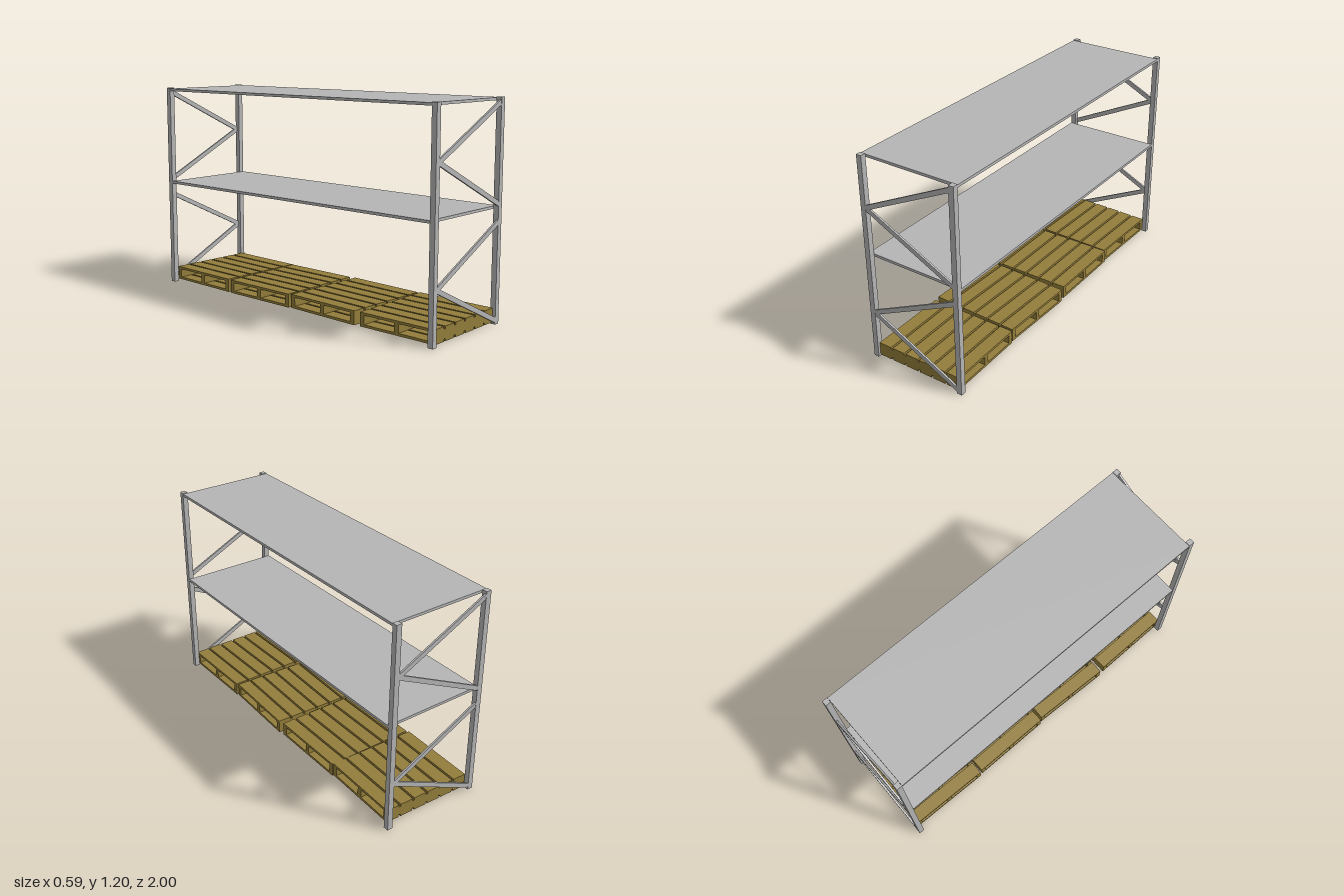
import * as THREE from 'three';

const steel = new THREE.MeshStandardMaterial({ color: 0xb5b5b5 });
steel.name = 'grey steel';
const wood = new THREE.MeshStandardMaterial({ color: 0x937d3b });
wood.name = 'pallet wood';

function box(parent, name, material, size, pos) {
  const mesh = new THREE.Mesh(new THREE.BoxGeometry(...size), material);
  mesh.name = name;
  mesh.position.set(...pos);
  parent.add(mesh);
  return mesh;
}

// Flat diagonal bar between two points in an end frame
function brace(parent, x0, y0, x1, y1, z) {
  const dx = x1 - x0, dy = y1 - y0;
  const bar = box(parent, 'diagonalBrace', steel, [Math.hypot(dx, dy), 0.026, 0.011],
    [(x0 + x1) / 2, (y0 + y1) / 2, z]);
  bar.rotation.z = Math.atan2(dy, dx);
}

// End frame: two posts and four zigzag braces; side is +1 at the front, -1 at the back
function endFrame(side) {
  const frame = new THREE.Group();
  frame.name = side > 0 ? 'frontFrame' : 'backFrame';
  for (const s of [-1, 1]) box(frame, 'post', steel, [0.031, 1.2, 0.031], [s * 0.2795, 0.6, side * 0.9845]);
  for (const [low, mid, high] of [[0.023, 0.287, 0.55], [0.648, 0.912, 1.175]]) {
    brace(frame, side * 0.268, low, -side * 0.268, mid, side * 0.9935);
    brace(frame, -side * 0.268, mid, side * 0.268, high, side * 0.9935);
  }
  return frame;
}

// Pallet: three cross stringers between two decks of six boards
function pallet() {
  const group = new THREE.Group();
  group.name = 'pallet';
  const depth = 0.475, deck = 0.014, height = 0.078, stringer = 0.028;
  for (const s of [-1, 0, 1]) {
    box(group, 'stringer', wood, [0.528, height - 2 * deck, stringer],
      [0, height / 2, s * (depth - stringer) / 2]);
  }
  for (let i = 0; i < 6; i++) {
    const x = (i - 2.5) * 0.09;
    box(group, 'bottomBoard', wood, [0.078, deck, depth], [x, deck / 2, 0]);
    box(group, 'topBoard', wood, [0.078, deck, depth], [x, height - deck / 2, 0]);
  }
  return group;
}

export function createModel() {
  const model = new THREE.Group();
  model.name = 'storageRack';
  model.add(endFrame(1), endFrame(-1));

  // Shelves
  for (const y of [0.626, 1.189]) box(model, 'shelf', steel, [0.588, 0.015, 1.936], [0, y, 0]);

  // Row of loosely placed pallets: z, height, turn
  for (const [z, y, turn] of [[0.748, 0.01, 0.01], [0.25, 0.01, -0.035], [-0.248, 0.01, 0], [-0.731, 0.013, -0.025]]) {
    const p = pallet();
    p.position.set(0, y, z);
    p.rotation.y = turn;
    model.add(p);
  }
  return model;
}
